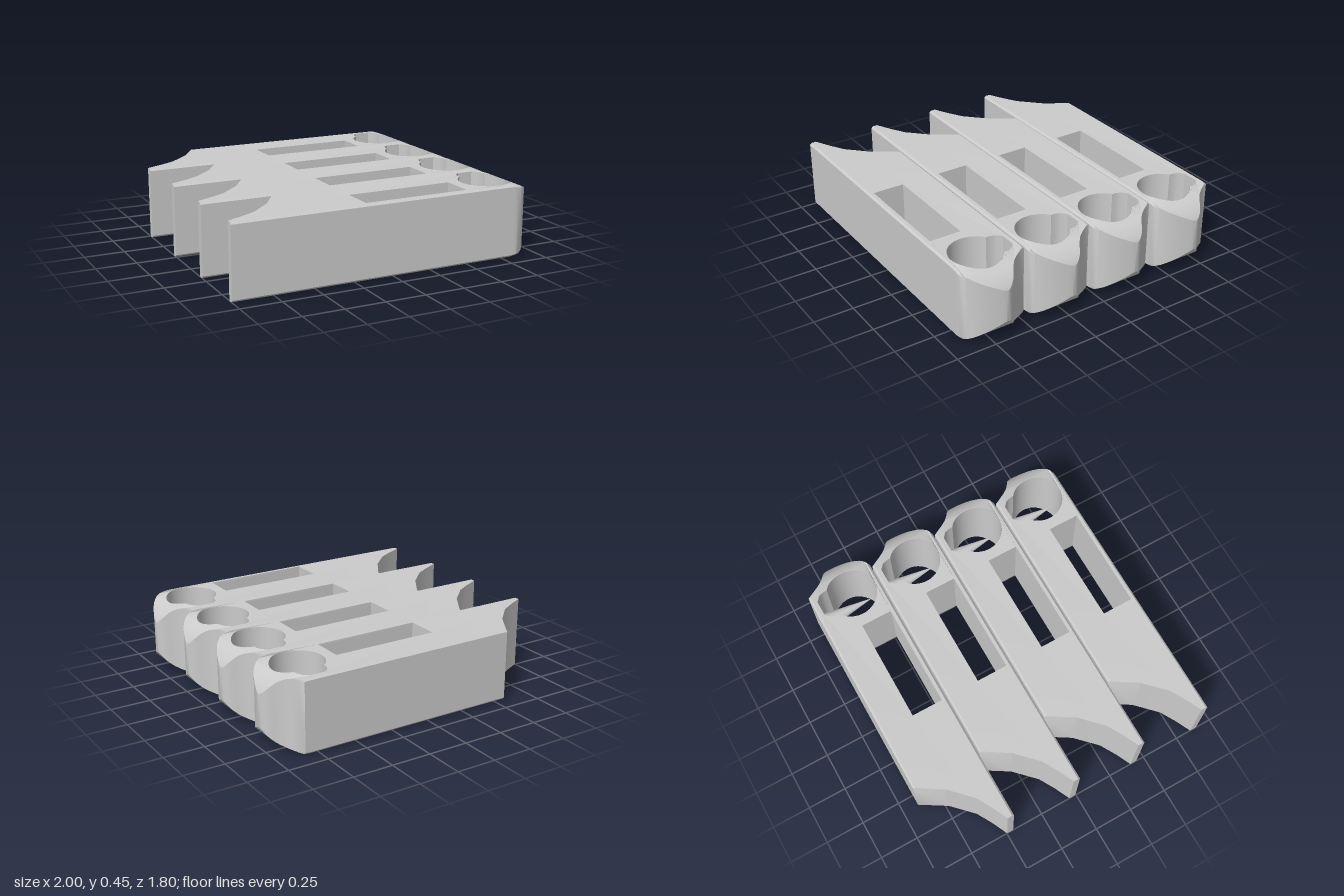
import * as THREE from 'three';
import { toCreasedNormals } from 'three/addons/utils/BufferGeometryUtils.js';

const HEIGHT = 0.45, MID = HEIGHT / 2, DEPTH = 0.443, PITCH = 0.451, CHAMFER = 0.012;
const NOSE_START = 0.8, NOSE_R = 0.2225;

// half height of the block along x: constant, then rounded off towards the nose
function halfHeight(x) {
  const d = Math.max(0, x - NOSE_START);
  return MID - (NOSE_R - Math.sqrt(NOSE_R * NOSE_R - d * d));
}

// plan points are [x, z]; the shape is drawn with y = -z
const plan = (pts) => pts.map(([x, z]) => new THREE.Vector2(x, -z));

// main body: plan outline with slot and keyhole, front and back edges chamfered
function bodyGeometry() {
  const shape = new THREE.Shape(plan([
    [-1, DEPTH], [0.8, DEPTH], [0.825, DEPTH], [0.85, DEPTH], [0.875, 0.436], [0.895, 0.422],
    [0.895, 0.105], [0.873, 0.075], [0.855, 0.045], [0.834, 0], [0.8, 0],
    [-0.57, 0], [-0.67, 0.167], [-0.8, 0.295], [-0.9, 0.352], [-1, 0.4],
  ]));
  shape.holes.push(new THREE.Path(plan([[-0.17, 0.21], [0.5, 0.21], [0.5, 0.41], [-0.17, 0.41]])));

  // keyhole: large circle with a small bulge towards the back
  const key = [], from = -0.94, to = Math.PI + 0.94, n = 40;
  for (let i = 0; i <= n; i++) {
    const a = from + (to - from) * i / n;
    key.push([0.73 + 0.16 * Math.cos(a), 0.253 + 0.16 * Math.sin(a)]);
  }
  key.push([0.638, 0.095], [0.65, 0.065], [0.68, 0.038], [0.78, 0.038], [0.81, 0.065], [0.822, 0.095]);
  shape.holes.push(new THREE.Path(plan(key)));

  const geo = new THREE.ExtrudeGeometry(shape, { depth: HEIGHT, steps: 3, bevelEnabled: false });
  geo.rotateX(-Math.PI / 2);
  const levels = [0, CHAMFER, HEIGHT - CHAMFER, HEIGHT];
  const p = geo.attributes.position;
  for (let i = 0; i < p.count; i++) {
    const x = p.getX(i), level = Math.round(p.getY(i) / HEIGHT * 3);
    if (level === 0 || level === 3) {
      p.setZ(i, THREE.MathUtils.clamp(p.getZ(i), CHAMFER, DEPTH - CHAMFER));
    }
    p.setY(i, MID + (levels[level] - MID) * halfHeight(x) / MID);
  }
  return toCreasedNormals(geo, 0.5);
}

// nose: rectangular cross-sections [x, back z, front z] that narrow to the tip
function noseGeometry() {
  const rows = [
    [0.895, 0.105, 0.422], [0.92, 0.128, 0.4], [0.94, 0.142, 0.374], [0.96, 0.154, 0.34],
    [0.975, 0.166, 0.305], [0.987, 0.18, 0.272], [0.995, 0.195, 0.245], [1, 0.21, 0.225],
  ].map(([x, b, f]) => {
    const h = halfHeight(x);
    return [[x, MID - h, b], [x, MID + h, b], [x, MID + h, f], [x, MID - h, f]];
  });
  const pos = [];
  const quad = (a, b, c, d) => pos.push(...a, ...b, ...c, ...a, ...c, ...d);
  for (let i = 0; i < rows.length - 1; i++) {
    for (let j = 0; j < 4; j++) {
      const k = (j + 1) % 4;
      quad(rows[i][j], rows[i][k], rows[i + 1][k], rows[i + 1][j]);
    }
  }
  quad(...rows[rows.length - 1]);
  const geo = new THREE.BufferGeometry();
  geo.setAttribute('position', new THREE.Float32BufferAttribute(pos, 3));
  return toCreasedNormals(geo, 0.5);
}

export function createModel() {
  const model = new THREE.Group();
  model.name = 'blockSet';
  const material = new THREE.MeshStandardMaterial({ color: 0xcccccc, side: THREE.DoubleSide });

  // spike lying across the keyhole, pointing to the front
  const spike = new THREE.ConeGeometry(0.055, 0.337, 24);
  spike.rotateX(Math.PI / 2).translate(0.73, MID, 0.038 + 0.337 / 2);
  const parts = { body: bodyGeometry(), nose: noseGeometry(), spike };

  // four equal blocks side by side
  for (let i = 0; i < 4; i++) {
    const block = new THREE.Group();
    block.name = `block${i + 1}`;
    for (const [name, geo] of Object.entries(parts)) {
      const mesh = new THREE.Mesh(geo, material);
      mesh.name = name;
      block.add(mesh);
    }
    block.position.z = (i - 1.5) * PITCH - DEPTH / 2;
    model.add(block);
  }
  return model;
}
